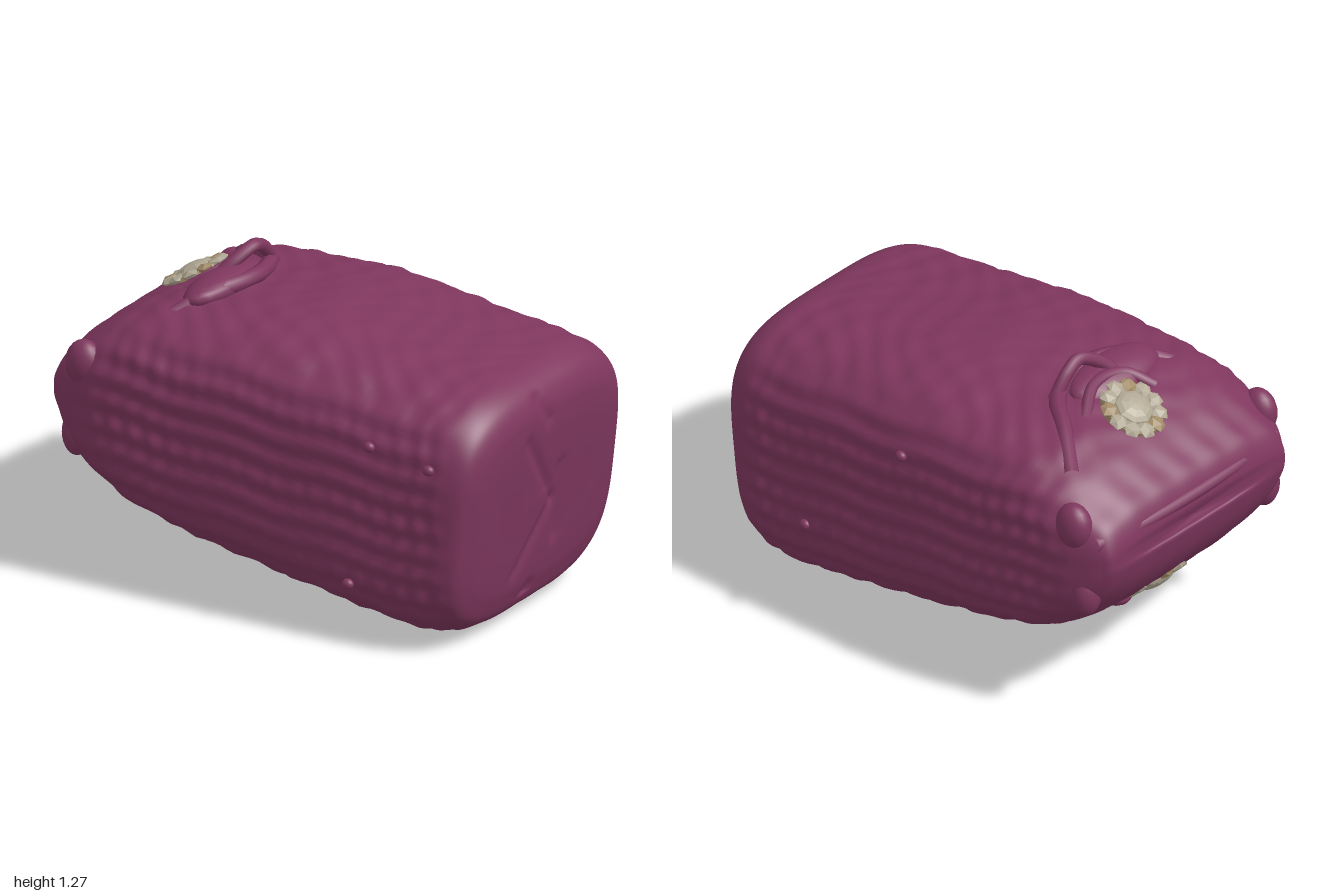
import * as THREE from 'three';

// Cross-sections from the pinched end to the base:
// bottom x, bottom y, top x, top y, half depth
const SECTIONS = [
  [-0.97, 0.735, -0.97, 0.745, 0.02],
  [-0.98, 0.71, -0.98, 0.77, 0.30],
  [-0.985, 0.68, -0.985, 0.80, 0.50],
  [-0.95, 0.57, -0.95, 0.90, 0.55],
  [-0.88, 0.46, -0.87, 0.97, 0.59],
  [-0.78, 0.36, -0.77, 1.04, 0.62],
  [-0.60, 0.25, -0.58, 1.12, 0.635],
  [-0.40, 0.19, -0.35, 1.14, 0.635],
  [0.00, 0.11, 0.00, 1.155, 0.635],
  [0.35, 0.05, 0.40, 1.11, 0.63],
  [0.60, 0.01, 0.75, 1.07, 0.62],
  [0.76, 0.02, 0.87, 1.05, 0.61],
  [0.85, 0.06, 0.95, 1.00, 0.58],
  [0.89, 0.14, 0.985, 0.93, 0.52],
  [0.91, 0.22, 0.99, 0.85, 0.45],
  [0.935, 0.40, 0.975, 0.70, 0.25],
  [0.955, 0.53, 0.955, 0.55, 0.02],
];
const v = (a) => new THREE.Vector3(...a);

// Creases in the base, as segments in z and y
const CREASES = [
  [0.18, 0.80, -0.04, 0.50], [-0.04, 0.48, 0.18, 0.24],
  [0.10, 0.96, 0.04, 0.86], [0.10, 0.06, 0.05, 0.14], [-0.08, 0.62, -0.09, 0.32],
];
function segmentDistance(z, y, [z1, y1, z2, y2]) {
  const dz = z2 - z1, dy = y2 - y1;
  const t = THREE.MathUtils.clamp(((z - z1) * dz + (y - y1) * dy) / (dz * dz + dy * dy), 0, 1);
  return Math.hypot(z - z1 - t * dz, y - y1 - t * dy);
}

function bodyGeometry() {
  const low = new THREE.CatmullRomCurve3(SECTIONS.map((s) => v([s[0], s[1], s[4]])));
  const high = new THREE.CatmullRomCurve3(SECTIONS.map((s) => v([s[2], s[3], 0])));
  const { smoothstep } = THREE.MathUtils;
  const rows = 170, cols = 170, n = 3.6, pos = [], index = [];
  for (let i = 0; i <= rows; i++) {
    const a = low.getPoint(i / rows), b = high.getPoint(i / rows);
    for (let j = 0; j < cols; j++) {
      const t = (j / cols) * Math.PI * 2, c = Math.cos(t), s = Math.sin(t);
      const r = (Math.abs(c) ** n + Math.abs(s) ** n) ** (-1 / n);
      const f = (1 + r * s) / 2;
      let x = a.x + (b.x - a.x) * f;
      const y0 = (a.y + b.y) / 2, dy = ((b.y - a.y) / 2) * r * s, dz = a.z * r * c;
      // woven quilting on the sides, loose overlapping folds above and below
      const row = y0 + dy + 0.09 * x + 0.008 * Math.sin(x * 13);
      const weave = Math.cos(row * 62) * 0.006 + Math.cos(x * 68 + Math.sin(row * 20)) * 0.004;
      const folds = Math.sin(x * 34 + 2.5 * Math.sin(dz * 9)) * Math.sin(dz * 24 + 2 * Math.sin(x * 8)) * 0.008;
      const side = smoothstep(Math.abs(c), 0.6, 0.85);
      const mid = smoothstep(x, -0.9, -0.6) * (1 - smoothstep(x, 0.72, 0.9));
      // gathered pleats towards the pinched end
      const pleats = (1 - smoothstep(x, -0.97, -0.7)) * Math.sin(dz * 40 + x * 18) * 0.014;
      const k = 1 + ((folds + (weave - folds) * side) * mid) / 0.6 + pleats;
      const y = y0 + dy * k, z = 0.012 + dz * k;
      if (x > 0.88) for (const line of CREASES) x -= 0.012 * Math.exp(-((segmentDistance(z, y, line) / 0.028) ** 2));
      pos.push(x, y, z);
      if (i < rows) {
        const p = i * cols + j, q = i * cols + ((j + 1) % cols);
        index.push(p, p + cols, q, q, p + cols, q + cols);
      }
    }
  }
  // close both ends
  for (const [base, y, flip] of [[0, 0.74, false], [rows * cols, 0.54, true]]) {
    const tip = pos.length / 3;
    pos.push(pos[base * 3], y, 0.012);
    for (let j = 0; j < cols; j++) {
      const p = base + j, q = base + ((j + 1) % cols);
      index.push(tip, flip ? q : p, flip ? p : q);
    }
  }
  const g = new THREE.BufferGeometry();
  g.setAttribute('position', new THREE.Float32BufferAttribute(pos, 3));
  g.setIndex(index);
  g.computeVertexNormals();
  return g;
}

export function createModel() {
  const mat = (name, color, flatShading = false) => {
    const m = new THREE.MeshStandardMaterial({ color, flatShading });
    m.name = name;
    return m;
  };
  const cloth = mat('plum cloth', 0x7f375e);
  const cream = mat('cream stone', 0xb0a793, true);
  const tan = mat('tan stone', 0xa08a66, true);

  const model = new THREE.Group();
  const add = (parent, name, geometry, material, at = [0, 0, 0], scale = [1, 1, 1]) => {
    const m = new THREE.Mesh(geometry, material);
    m.name = name;
    m.position.set(...at);
    m.scale.set(...scale);
    parent.add(m);
    return m;
  };
  const ball = new THREE.SphereGeometry(1, 20, 14);
  const cord = (points, radius) =>
    new THREE.TubeGeometry(new THREE.CatmullRomCurve3(points.map(v)), 40, radius, 8);

  add(model, 'body', bodyGeometry(), cloth);

  // Folded cloth ears at the pinched corners
  for (const side of [-1, 1]) {
    add(model, 'upperEar', ball, cloth, [-0.82, 0.88, 0.012 + side * 0.55], [0.08, 0.1, 0.065]);
    add(model, 'lowerEar', ball, cloth, [-0.865, 0.58, 0.012 + side * 0.53], [0.06, 0.1, 0.065]);
  }

  // Ridge along the pinched end
  add(model, 'endSeam', cord([[-0.92, 0.83, -0.53], [-0.955, 0.83, -0.25], [-0.955, 0.83, 0.25], [-0.92, 0.83, 0.53]], 0.03), cloth);

  // Small loose knots of cloth
  for (const [x, y, z] of [[0.53, 0.85, 0.635], [0.79, 0.8, 0.615], [0.43, 0.25, 0.63], [0, 0.9, -0.62], [0.5, 0.37, -0.61]])
    add(model, 'knot', ball, cloth, [x, y, z], [0.025, 0.022, 0.02]);

  // Clasp: a jewelled button with a gathered collar and cord loop behind it
  const clasp = (name) => {
    const g = new THREE.Group();
    g.name = name;
    add(g, 'collar', cord([[-0.04, -0.09, -0.43], [0.11, -0.005, -0.3], [0.23, 0.03, -0.2], [0.295, 0.045, -0.05],
      [0.295, 0.05, 0.1], [0.235, 0.035, 0.24], [0.12, -0.045, 0.4]], 0.034), cloth);
    add(g, 'flap', ball, cloth, [0.2, 0.02, 0.1], [0.11, 0.065, 0.24]).rotation.z = 0.3;
    add(g, 'loop', cord([[0.17, 0.04, 0.1], [0.22, 0.105, 0.03], [0.25, 0.14, -0.05], [0.25, 0.11, -0.12], [0.25, 0.02, -0.2]], 0.027), cloth);
    add(g, 'innerFold', cord([[0.06, -0.01, 0.18], [0.15, 0.05, 0.1], [0.17, 0.06, -0.05], [0.1, -0.01, -0.19]], 0.024), cloth);

    const button = new THREE.Group();
    button.name = 'button';
    button.rotation.z = 0.5;
    button.position.set(0.005, -0.005, -0.01);
    g.add(button);
    add(button, 'buttonBase', new THREE.CylinderGeometry(0.125, 0.13, 0.05, 12), tan, [0, -0.02, 0]);
    add(button, 'centreStone', new THREE.SphereGeometry(1, 8, 4, 0, Math.PI * 2, 0, Math.PI / 2), cream, [0, 0, 0], [0.085, 0.035, 0.085]);
    for (let i = 0; i < 11; i++) {
      const a = (i / 11) * Math.PI * 2;
      const bead = add(button, 'rimStone', new THREE.IcosahedronGeometry(1, 0), i % 4 === 1 ? tan : cream,
        [Math.cos(a) * 0.105, 0.002, Math.sin(a) * 0.105], [0.042, 0.02, 0.04]);
      bead.rotation.y = -a;
    }
    model.add(g);
    return g;
  };
  clasp('upperClasp').position.set(-0.675, 1.11, 0);
  const lower = clasp('lowerClasp');
  lower.position.set(-0.775, 0.355, 0);
  lower.rotation.set(Math.PI, 0, 0.234);

  return model;
}
